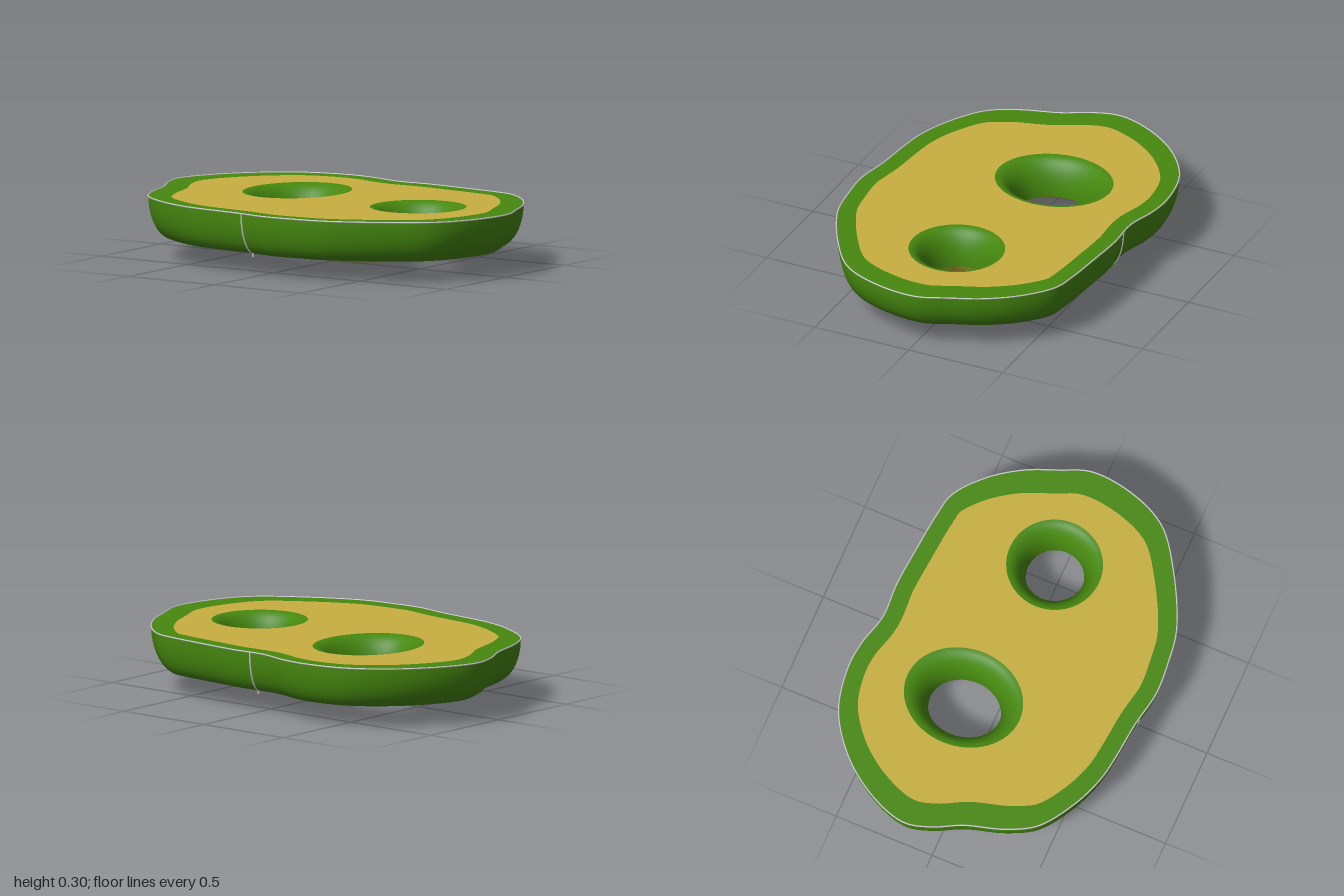
import * as THREE from 'three';

const TOP = 0.3, LIP = 0.2;
const green = new THREE.MeshStandardMaterial({ color: 0x46880f, side: THREE.DoubleSide });
const yellow = new THREE.MeshStandardMaterial({ color: 0xc8b040, side: THREE.DoubleSide });
const grey = new THREE.MeshStandardMaterial({ color: 0xcccccc });

// wavy outer outline as x, z pairs
const OUTLINE = [
  [-1, -0.15], [-0.94, -0.33], [-0.8, -0.52], [-0.6, -0.66], [-0.38, -0.705], [-0.24, -0.695],
  [-0.08, -0.655], [0.1, -0.66], [0.3, -0.645], [0.5, -0.625], [0.62, -0.6], [0.76, -0.49],
  [0.87, -0.34], [0.94, -0.18], [0.995, -0.03], [0.97, 0.19], [0.88, 0.38], [0.7, 0.52],
  [0.42, 0.66], [0.25, 0.69], [0.08, 0.7], [-0.1, 0.67], [-0.3, 0.65], [-0.42, 0.63],
  [-0.58, 0.57], [-0.76, 0.45], [-0.84, 0.31], [-0.9, 0.12], [-0.97, -0.02],
];

// through holes: opening centre and radii, lip centre and radii
const HOLES = [
  { name: 'largeHole', c: [-0.302, -0.133], r: [0.153, 0.178], lipC: [-0.303, -0.138], lipR: [0.248, 0.292] },
  { name: 'smallHole', c: [0.49, -0.005], r: [0.14, 0.14], lipC: [0.49, -0.007], lipR: [0.23, 0.232] },
];

const ellipse = (c, r, n = 64) => Array.from({ length: n }, (_, i) => {
  const a = (i / n) * Math.PI * 2;
  return new THREE.Vector2(c[0] + r[0] * Math.cos(a), c[1] + r[1] * Math.sin(a));
});

// closed rings of equal length joined into a surface; keep() can drop triangles
function loft(rings, keep = () => true) {
  const n = rings[0].length, index = [];
  for (let j = 0; j < rings.length - 1; j++) {
    for (let i = 0; i < n; i++) {
      const a = j * n + i, b = j * n + (i + 1) % n;
      for (const tri of [[a, b, a + n], [b, b + n, a + n]]) if (keep(tri)) index.push(...tri);
    }
  }
  const g = new THREE.BufferGeometry().setFromPoints(rings.flat());
  g.setIndex(index);
  g.computeVertexNormals();
  return g;
}

// flat face at the top height, with holes
function flatFace(outer, holes) {
  const flip = pts => pts.map(p => new THREE.Vector2(p.x, -p.y));
  const s = new THREE.Shape(flip(outer));
  s.holes = holes.map(h => new THREE.Path(flip(h)));
  return new THREE.ShapeGeometry(s).rotateX(-Math.PI / 2).translate(0, TOP, 0);
}

export function createModel() {
  const group = new THREE.Group();
  const add = (name, geo, mat) => {
    const m = new THREE.Mesh(geo, mat);
    m.name = name;
    group.add(m);
  };

  // outline samples and the inset line
  const curve = new THREE.CatmullRomCurve3(OUTLINE.map(([x, z]) => new THREE.Vector3(x, 0, z)), true);
  const N = 200, outer = [], inset = [];
  for (let i = 0; i < N; i++) {
    const p = curve.getPointAt(i / N), t = curve.getTangentAt(i / N);
    outer.push(new THREE.Vector2(p.x, p.z));
    inset.push(new THREE.Vector2(p.x + 0.125 * -t.z, p.z + 0.085 * t.x));
  }

  // flat top: green border and yellow middle
  add('topBorder', flatFace(outer, [inset]), green);
  add('topFace', flatFace(inset, HOLES.map(h => ellipse(h.lipC, h.lipR))), yellow);

  // outer wall curving inward at its foot
  const wallPoint = (i, s) => {
    const a = s * Math.PI / 2, p = outer[i].clone().lerp(inset[i], 1 - Math.cos(a));
    return new THREE.Vector3(p.x, TOP - LIP * Math.sin(a), p.y);
  };
  const steps = Array.from({ length: 13 }, (_, k) => k / 12);
  add('outerWall', loft(steps.map(s => outer.map((_, i) => wallPoint(i, s)))), green);

  // rounded hole linings
  for (const h of HOLES) {
    const lip = ellipse(h.lipC, h.lipR).reverse(), open = ellipse(h.c, h.r).reverse();
    const rings = steps.map(s => lip.map((p, i) => {
      const a = s * Math.PI / 2, q = p.clone().lerp(open[i], Math.sin(a));
      return new THREE.Vector3(q.x, TOP - 0.18 * (1 - Math.cos(a)), q.y);
    }));
    // lining reaches down to the underside
    add(h.name + 'Lining', loft(rings), green);
  }

  // domed underside, drawn up around the holes
  const centre = new THREE.Vector2(0.1, -0.1), R = 70, inside = [], rings = [];
  const rim = [...outer].reverse();
  for (let j = 0; j <= R; j++) {
    const t = 0.001 + 0.989 * j / R;
    rings.push(rim.map(p => {
      const q = centre.clone().lerp(p, t);
      let y = 0.25 * Math.pow(t, 1.9), hit = false;
      for (const h of HOLES) {
        const dx = q.x - h.c[0], dz = q.y - h.c[1];
        const k = Math.hypot(dx / h.r[0], dz / h.r[1]);
        if (k < 1) {
          hit = true;
          q.set(h.c[0] + dx / Math.max(k, 1e-4), h.c[1] + dz / Math.max(k, 1e-4));
        }
        const d = Math.max(0, (k - 1) * h.r[0]);
        if (d < 0.1) y += (0.12 - y) * (1 - d / 0.1) ** 2;
      }
      inside.push(hit);
      return new THREE.Vector3(q.x, y, q.y);
    }));
  }
  add('underside', loft(rings, tri => !tri.every(v => inside[v])), yellow);

  // thin grey edge line and the two seams down the wall
  const edge = new THREE.CatmullRomCurve3(outer.map(p => new THREE.Vector3(p.x, TOP, p.y)), true);
  add('edgeLine', new THREE.TubeGeometry(edge, 300, 0.004, 6, true), grey);
  for (const [name, x, side] of [['frontSeam', -0.06, 1], ['backSeam', 0, -1]]) {
    let best = 0, gap = 9;
    outer.forEach((p, i) => {
      if (p.y * side > 0 && Math.abs(p.x - x) < gap) { gap = Math.abs(p.x - x); best = i; }
    });
    const pts = steps.map(s => wallPoint(best, s * 0.9));
    const last = pts[pts.length - 1];
    pts.push(new THREE.Vector3(last.x, 0.085, last.z));
    add(name, new THREE.TubeGeometry(new THREE.CatmullRomCurve3(pts), 30, 0.005, 6), grey);
  }
  return group;
}
